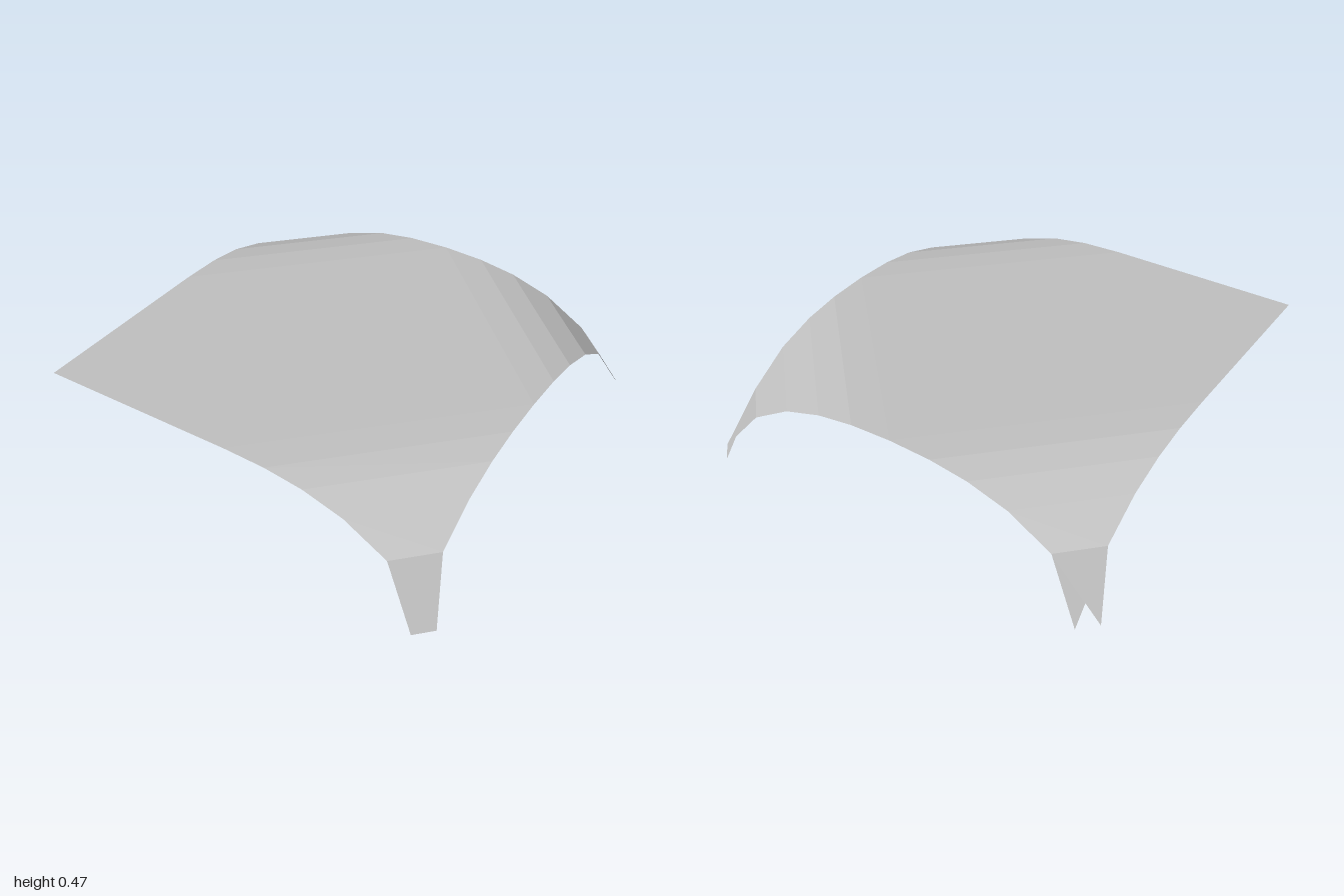
import * as THREE from 'three';

const H = 0.927; // half width of the square sheet
const TOP = 0.465;

// Curve of a drooping corner: distance along the edge, height
const CURVE = [[0, TOP], [0.2, 0.457], [0.38, 0.431], [0.57, 0.373], [0.77, 0.255], [H, 0.08]];

// Each drooping corner, with the foot facets it carries
const CORNERS = [
  { name: 'FrontLeft', sx: 1, sz: 1, facets: ['outer', 'middle', 'inner'] },
  { name: 'BackLeft', sx: 1, sz: -1, facets: ['middle', 'inner'] },
  { name: 'BackRight', sx: -1, sz: -1, facets: ['outer', 'inner'] },
];

// Flat-shaded mesh from convex polygons, mirrored into the chosen quadrant
function facetMesh(name, polygons, material, sx = 1, sz = 1) {
  const points = [];
  for (const polygon of polygons) {
    const p = polygon.map(([x, y, z]) => [x * sx, y, z * sz]);
    if (sx * sz < 0) p.reverse();
    for (let i = 1; i < p.length - 1; i++) points.push(...p[0], ...p[i], ...p[i + 1]);
  }
  const geometry = new THREE.BufferGeometry();
  geometry.setAttribute('position', new THREE.Float32BufferAttribute(points, 3));
  geometry.computeVertexNormals();
  const mesh = new THREE.Mesh(geometry, material);
  mesh.name = name;
  return mesh;
}

export function createModel() {
  const group = new THREE.Group();
  group.name = 'canopy';
  const grey = new THREE.MeshStandardMaterial({ color: 0xc0c0c0, side: THREE.DoubleSide });
  grey.name = 'light grey';

  // Flat middle, running out to the one corner that stays level
  const flat = [[-H, TOP, H], [0, TOP, H], [H, TOP, 0], [0, TOP, -H], [-H, TOP, 0]];
  group.add(facetMesh('flatSheet', [flat], grey));

  // Diagonal strips bending down to the sheet's corner
  const strips = [];
  for (let i = 0; i < CURVE.length - 1; i++) {
    const [t0, y0] = CURVE[i];
    const [t1, y1] = CURVE[i + 1];
    strips.push([[t0, y0, H], [t1, y1, H], [H, y1, t1], [H, y0, t0]]);
  }

  // Foot facets fanned around the sheet's corner tip
  const [t, y] = CURVE[4];
  const tip = [H, CURVE[5][1], H];
  const footA = [H, 0, 1];
  const footB = [1, 0, H];
  const facets = {
    outer: [[t, y, H], footA, tip],
    middle: [footA, footB, tip],
    inner: [footB, [H, y, t], tip],
  };

  for (const { name, sx, sz, facets: used } of CORNERS) {
    group.add(facetMesh('bentCorner' + name, strips, grey, sx, sz));
    group.add(facetMesh('foot' + name, used.map((key) => facets[key]), grey, sx, sz));
  }
  return group;
}
